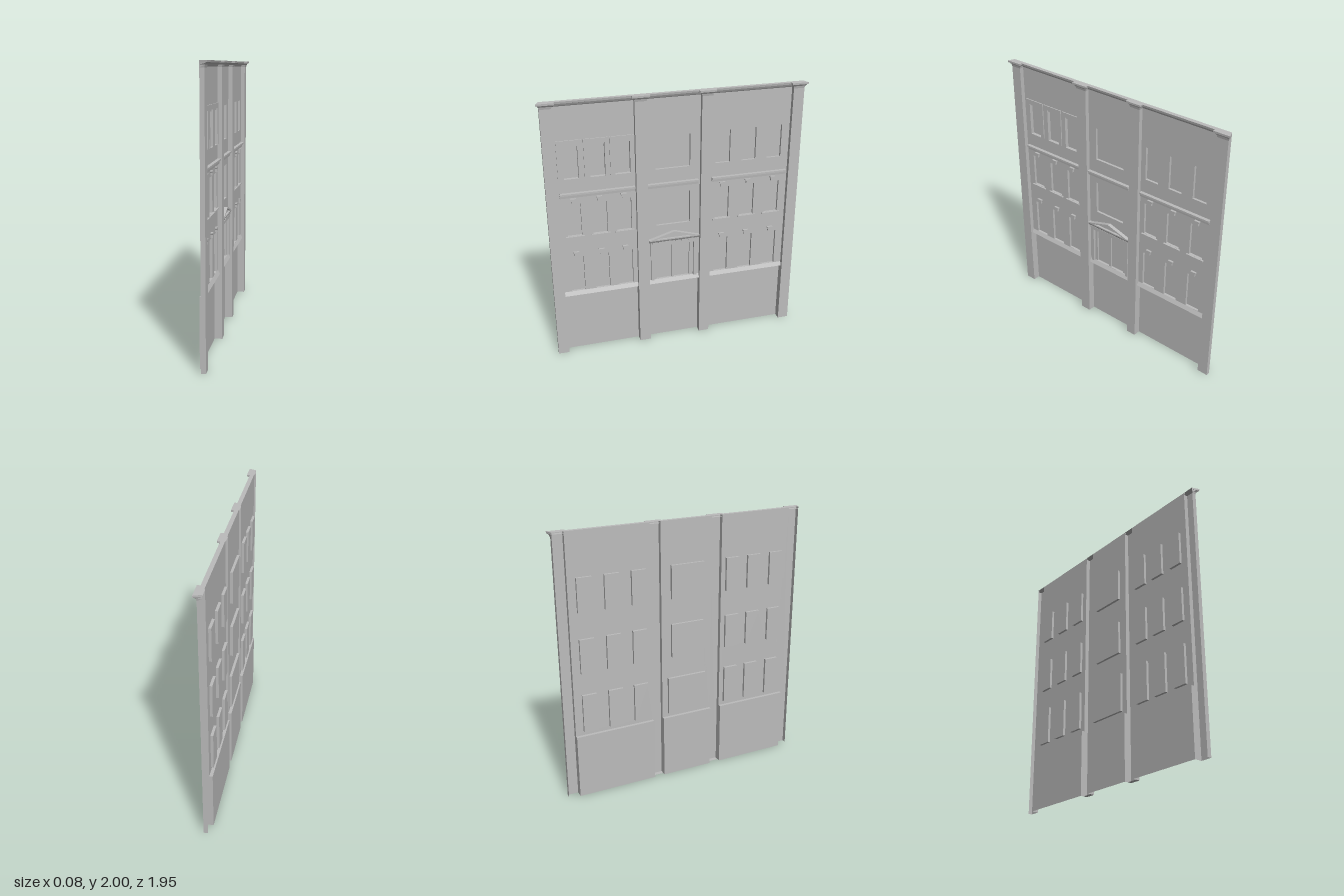
import * as THREE from 'three';

const WALL = -0.016, FRONT = 0.016, PANE = -0.035;

export function createModel() {
  const model = new THREE.Group();
  model.name = 'townhouseFacade';
  const stone = new THREE.MeshStandardMaterial({ color: 0xbcbcbc, side: THREE.DoubleSide });
  stone.name = 'stone';

  const add = (name, geometry) => {
    const mesh = new THREE.Mesh(geometry, stone);
    mesh.name = name;
    model.add(mesh);
    return mesh;
  };
  // Box from its limits; open lists the missing sides (0 +x, 1 -x, 2 +y, 3 -y, 4 +z, 5 -z)
  const box = (name, x0, x1, y0, y1, z0, z1, open = []) => {
    const g = new THREE.BoxGeometry(x1 - x0, y1 - y0, z1 - z0);
    g.translate((x0 + x1) / 2, (y0 + y1) / 2, (z0 + z1) / 2);
    g.setIndex([...g.index.array].filter((v, i) => !open.includes(Math.floor(i / 6))));
    return add(name, g);
  };
  const rectangle = (z0, z1, y0, y1, Type = THREE.Path) =>
    new Type([[z0, y0], [z1, y0], [z1, y1], [z0, y1]].map(p => new THREE.Vector2(...p)));
  // Places an upright z-y shape with its face at the given x
  const upright = (name, shape, x, depth = 0) => {
    const g = depth
      ? new THREE.ExtrudeGeometry(shape, { depth, bevelEnabled: false })
      : new THREE.ShapeGeometry(shape);
    return add(name, g.rotateY(-Math.PI / 2).translate(x, 0, 0));
  };
  const polygon = pts => new THREE.Shape(pts.map(p => new THREE.Vector2(...p)));
  // Moulding cut in x-y and run along z
  const moulding = (name, pts, z0, z1) => {
    const g = new THREE.ExtrudeGeometry(polygon(pts), { depth: z1 - z0, bevelEnabled: false });
    return add(name, g.translate(0, 0, z0));
  };

  // Bays between the pilasters
  const rows = [[0.52, 0.81], [0.98, 1.235], [1.43, 1.68]];
  const bays = [
    { z: [0.305, 0.87], windows: [[0.71, 0.815], [0.52, 0.63], [0.34, 0.45]], course: [0.31, 0.855] },
    { z: [-0.18, 0.22], windows: [[-0.105, 0.155]], course: [-0.165, 0.218], door: [-0.135, 0.175] },
    { z: [-0.87, -0.26], windows: [[-0.41, -0.3], [-0.61, -0.5], [-0.81, -0.7]], course: [-0.855, -0.268] },
  ];

  for (const { z: [z0, z1], windows, course, door } of bays) {
    const wall = rectangle(z0, z1, 0.49, 2, THREE.Shape);
    rows.forEach(([y0, y1], row) => {
      const openings = door && row === 0 ? [door] : windows;
      for (const [a, b] of openings) {
        // Recessed opening
        wall.holes.push(rectangle(a, b, y0 + 0.0005, y1));
        box(door && row === 0 ? 'doorRecess' : 'windowRecess', PANE, WALL, y0, y1, a, b, [0]);
        if (door) continue;
        const c = (a + b) / 2;
        // Keystone and sill
        if (row < 2) {
          const k = y1 + 0.01;
          upright('keystone', polygon([
            [c - 0.014, k], [c + 0.014, k], [c + 0.014, k + 0.02], [c + 0.021, k + 0.024],
            [c + 0.021, k + 0.034], [c - 0.021, k + 0.034], [c - 0.021, k + 0.024], [c - 0.014, k + 0.02],
          ]), 0, 0.016);
        }
        if (row === 1) box('windowSill', WALL, -0.002, y0 - 0.009, y0, a - 0.016, b + 0.016);
      }
    });
    upright('bayWall', wall, WALL);

    // Sunken basement panel under a sloping ledge
    box('basementPanel', -0.04, WALL, 0, 0.49, z0, z1, [0, 3]);
    moulding('basementLedge', [[WALL, 0.49], [0, 0.49], [WALL, 0.52]], z0, z1);

    // Stepped string course
    moulding('stringCourse', [
      [WALL, 1.29], [-0.002, 1.29], [0.0, 1.309], [0.01, 1.312], [0.01, 1.325], [WALL, 1.325],
    ], ...course);

    // Cornice along the top of the wall
    moulding('cornice', [
      [WALL, 1.96], [-0.012, 1.965], [-0.004, 1.98], [0.012, 1.985], [0.015, 2], [WALL, 2],
    ], z0, z1);
  }

  // Hollow pilasters with flaring capitals
  const pilasters = [[0.87, 0.952], [0.22, 0.305], [-0.26, -0.18], [-0.952, -0.87]];
  const capitalSteps = [[1.955, 0], [1.972, 0.004], [1.983, 0.012], [1.986, 0.02], [2, 0.021]];
  pilasters.forEach(([z0, z1], i) => {
    const outer = i === 0 || i === 3;
    box('pilaster', WALL, FRONT, 0, 1.999, z0, z1, outer ? [1, 2, 3] : [1, 2]);
    for (let s = 1; s < capitalSteps.length; s++) {
      const [ya, oa] = capitalSteps[s - 1], [yb, ob] = capitalSteps[s];
      const mesh = box('capital', WALL, FRONT, ya, yb, z0, z1, s === capitalSteps.length - 1 ? [1] : [1, 2, 3]);
      const p = mesh.geometry.attributes.position, mid = (z0 + z1) / 2;
      for (let v = 0; v < p.count; v++) {
        const out = p.getY(v) > (ya + yb) / 2 ? ob : oa;
        const side = Math.sign(p.getZ(v) - mid);
        const front = p.getX(v) > 0;
        // The outermost returns are mitred, so their back edge stays put
        const mitred = outer && side === Math.sign(mid) && !front;
        if (front) p.setX(v, p.getX(v) + out);
        if (!mitred) p.setZ(v, p.getZ(v) + side * out);
      }
      mesh.geometry = mesh.geometry.toNonIndexed();
      mesh.geometry.computeVertexNormals();
    }
  });

  // Surrounds of the upper windows in the left bay
  [[0.68, 0.857, 0.71, 0.815], [0.495, 0.668, 0.52, 0.63], [0.308, 0.484, 0.34, 0.45]].forEach(([a, b, c, d]) => {
    const frame = rectangle(a, b, 1.43, 1.715, THREE.Shape);
    frame.holes.push(rectangle(c, d, 1.4305, 1.68));
    upright('windowSurround', frame, -0.008, 0.008);
    box('windowHead', PANE, -0.018, 1.667, 1.68, c, d);
  });

  // Doorway: side posts, jambs, centre post, entablature and pediment
  for (const [a, b] of [[0.178, 0.202], [-0.16, -0.138]]) box('doorPost', WALL, -0.002, 0.52, 0.85, a, b);
  for (const [a, b] of [[0.155, 0.175], [0.017, 0.037], [-0.135, -0.105]]) {
    box('doorJamb', PANE, -0.022, 0.52, 0.81, a, b);
  }
  box('entablature', WALL, 0, 0.815, 0.85, -0.16, 0.202);
  moulding('pedimentBase', [[WALL, 0.848], [0.002, 0.848], [0.012, 0.865], [0.012, 0.874], [WALL, 0.874]], -0.175, 0.218);
  const gable = polygon([[-0.175, 0.87], [0.218, 0.87], [0.0215, 0.928]]);
  upright('pedimentPanel', gable, -0.004, 0.012);
  const rake = polygon([
    [-0.175, 0.87], [-0.12, 0.874], [0.0215, 0.914], [0.163, 0.874], [0.218, 0.87], [0.0215, 0.928],
  ]);
  upright('pedimentRake', rake, 0.012, 0.028);
  // Small blocks under the pediment
  for (let i = 0; i < 14; i++) {
    const c = -0.145 + i * 0.0256;
    box('dentil', -0.001, 0.006, 0.84, 0.85, c - 0.006, c + 0.006);
  }

  return model;
}
